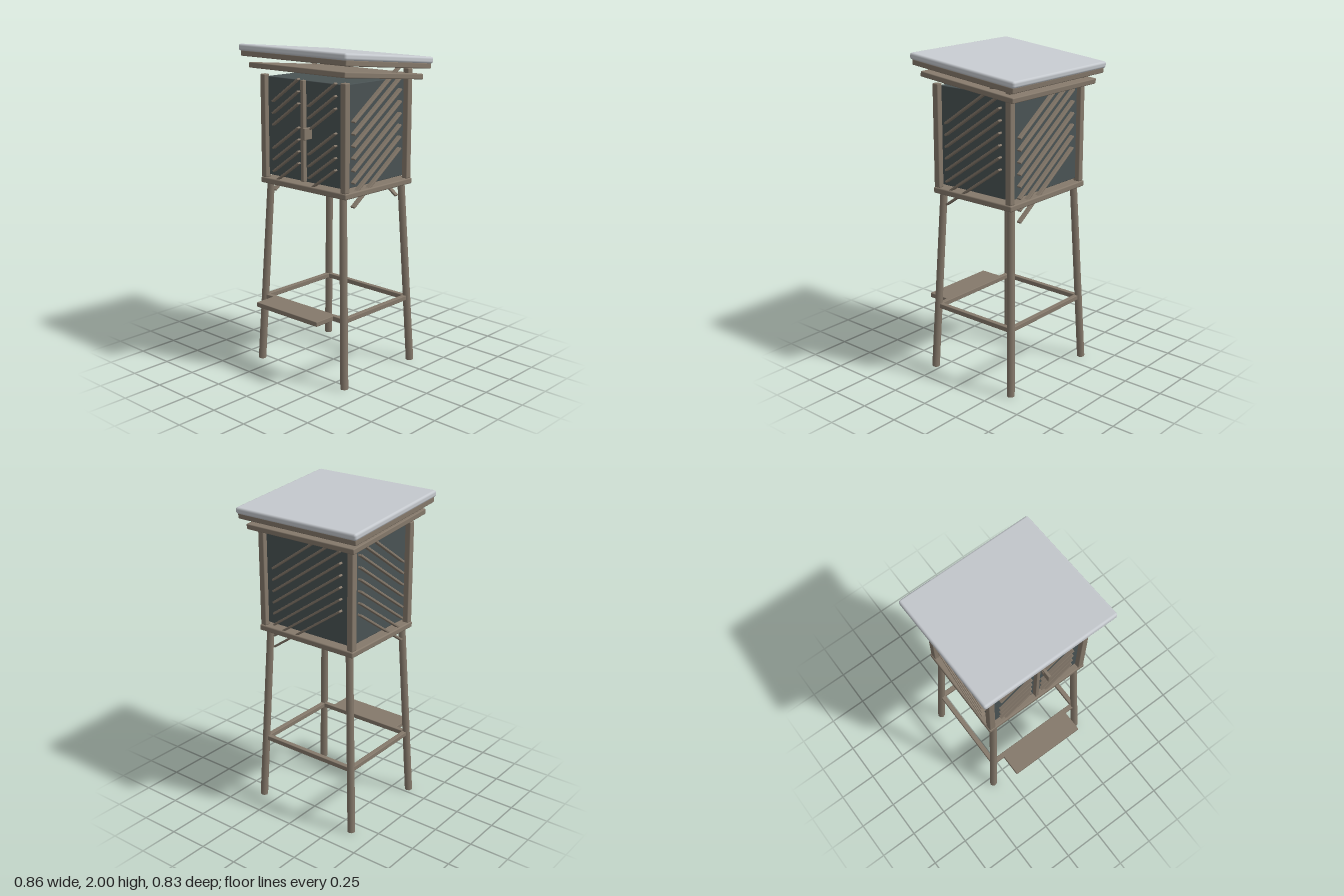
import * as THREE from 'three';
import { RoundedBoxGeometry } from 'three/addons/geometries/RoundedBoxGeometry.js';

const material = (name, color) => {
  const m = new THREE.MeshStandardMaterial({ color });
  m.name = name;
  return m;
};

export function createModel() {
  const wood = material('weathered wood', 0x85796b);
  const dark = material('dark panel', 0x4a5354);
  const metal = material('pale metal', 0xc6cacf);
  const model = new THREE.Group();

  // Box with softened edges, given by size and centre
  const box = (name, mat, size, pos, radius = 0.004) => {
    const mesh = new THREE.Mesh(new RoundedBoxGeometry(...size, 2, radius), mat);
    mesh.name = name;
    mesh.position.set(...pos);
    model.add(mesh);
    return mesh;
  };

  // Splayed legs
  const splayedLeg = (x0, z0, x1, z1) => {
    const foot = new THREE.Vector3(x0, 0.002, z0);
    const axis = new THREE.Vector3(x1, 1.17, z1).sub(foot);
    const geo = new THREE.CylinderGeometry(0.022, 0.024, axis.length(), 8);
    const mesh = new THREE.Mesh(geo, wood);
    mesh.name = 'leg';
    mesh.position.copy(foot).addScaledVector(axis, 0.5);
    mesh.quaternion.setFromUnitVectors(new THREE.Vector3(0, 1, 0), axis.normalize());
    model.add(mesh);
  };
  for (const s of [-1, 1]) {
    splayedLeg(s * 0.355, 0.288, s * 0.298, 0.24);
    splayedLeg(s * 0.355, -0.333, s * 0.298, -0.285);
  }

  // Rails between the legs, and the step
  for (const s of [-1, 1]) box('sideRail', wood, [0.03, 0.03, 0.59], [s * 0.33, 0.42, -0.022]);
  for (const z of [0.265, -0.31]) box('crossRail', wood, [0.66, 0.03, 0.03], [0, 0.42, z]);
  box('step', wood, [0.51, 0.03, 0.15], [0, 0.42, 0.345]);

  // Floor, enclosure and corner posts
  box('floor', wood, [0.7, 0.036, 0.605], [0, 1.173, -0.025], 0.008);
  box('enclosure', dark, [0.62, 0.6, 0.535], [0, 1.507, -0.023]);
  for (const s of [-1, 1]) {
    box('frontPost', wood, [0.04, 0.63, 0.042], [s * 0.325, 1.505, 0.254], 0.006);
    box('backPost', wood, [0.04, 0.67, 0.042], [s * 0.325, 1.525, -0.3], 0.006);
  }

  // Slanted slats on the sides, back and both doors
  const slant = 0.61;
  for (let i = 0; i < 8; i++) {
    const y = 1.24 + i * 0.071;
    for (const s of [-1, 1]) {
      box('sideSlat', wood, [0.03, 0.013, 0.51], [s * 0.326, y, -0.02], 0.003).rotation.x = slant;
    }
    box('backSlat', wood, [0.61, 0.013, 0.028], [0, y, -0.303], 0.003).rotation.z = -slant;
    if (i === 4) continue; // the doors leave one row open
    for (const s of [-1, 1]) {
      box('doorSlat', wood, [0.265, 0.012, 0.026], [s * 0.147, y, 0.255], 0.003).rotation.z = slant;
    }
  }

  // Door stile and handle
  box('doorStile', wood, [0.024, 0.6, 0.03], [0, 1.51, 0.257]);
  box('handle', wood, [0.018, 0.07, 0.065], [0.05, 1.505, 0.277]);

  // Double roof, sloping down to the back
  const roofs = [
    ['lowerRoof', wood, [0.775, 0.033, 0.7], 1.84],
    ['roofBoard', wood, [0.845, 0.034, 0.76], 1.907],
    ['roofCover', metal, [0.862, 0.04, 0.786], 1.941],
  ];
  for (const [name, mat, size, y] of roofs) {
    box(name, mat, size, [0, y, -0.022], mat === metal ? 0.014 : 0.006).rotation.x = -0.1;
  }
  return model;
}
